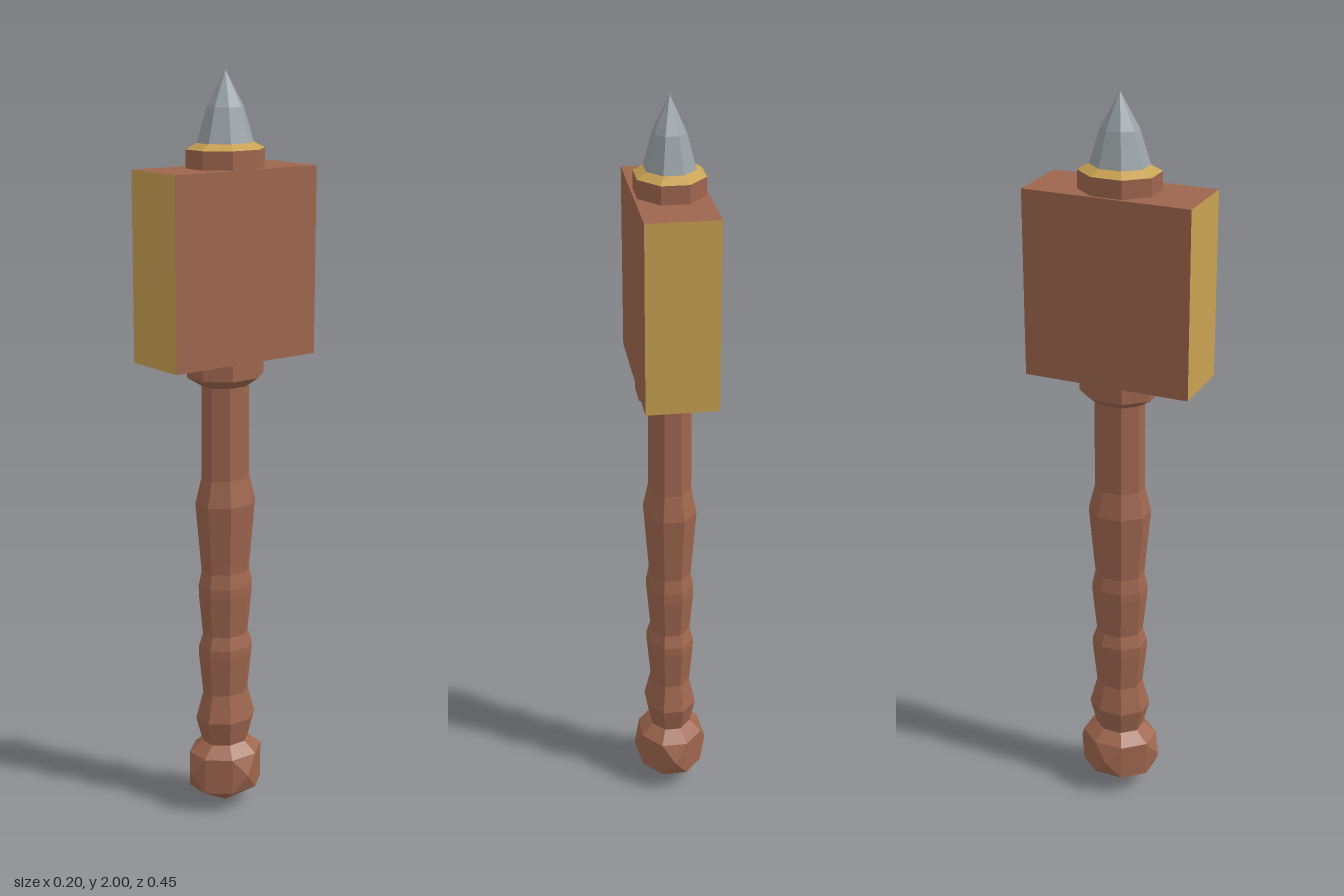
import * as THREE from 'three';

const material = (name, color) => {
  const m = new THREE.MeshStandardMaterial({ color, flatShading: true });
  m.name = name;
  return m;
};

export function createModel() {
  const wood = material('brown wood', 0x9e664e);
  const gold = material('gold', 0xc8a152);
  const steel = material('steel', 0x9aa3a6);

  const model = new THREE.Group();
  model.name = 'hammer';

  // Eight-sided parts share one group, slightly narrower in x than in z
  const turned = new THREE.Group();
  turned.name = 'turnedParts';
  turned.scale.x = 0.86;
  model.add(turned);

  // Octagonal lathe; profile is [distance to flat, height] from bottom to top
  const octagon = (name, mat, profile) => {
    const points = profile.map(([r, y]) => new THREE.Vector2(r / Math.cos(Math.PI / 8), y));
    const mesh = new THREE.Mesh(new THREE.LatheGeometry(points, 8, Math.PI / 8), mat);
    mesh.name = name;
    turned.add(mesh);
  };

  octagon('pommel', wood, [[0, 0.005], [0.097, 0.065], [0.097, 0.165], [0.062, 0.195]]);
  octagon('grip', wood, [
    [0.062, 0.195], [0.079, 0.265], [0.06, 0.34], [0.071, 0.45], [0.071, 0.475],
    [0.06, 0.51], [0.071, 0.625], [0.071, 0.65], [0.063, 0.69], [0.079, 0.88],
    [0.063, 0.95], [0.062, 1.205],
  ]);
  octagon('lowerCollar', wood, [[0.062, 1.2], [0.099, 1.225], [0.099, 1.275]]);
  octagon('upperCollar', wood, [[0.099, 1.755], [0.099, 1.807]]);
  octagon('collarRim', gold, [[0.099, 1.807], [0.07, 1.823], [0, 1.823]]);
  octagon('spike', steel, [[0.072, 1.82], [0.046, 1.91], [0, 2]]);

  // Pyramid studs on the four main faces of the pommel
  const studGeometry = new THREE.ConeGeometry(Math.SQRT1_2, 1, 4, 1, true, Math.PI / 4);
  studGeometry.rotateX(Math.PI / 2).translate(0, 0, 0.5).scale(0.08, 0.1, 0.022);
  studGeometry.translate(0, 0.115, 0.097);
  for (let i = 0; i < 4; i++) {
    const stud = new THREE.Mesh(studGeometry, wood);
    stud.name = 'pommelStud';
    stud.rotation.y = i * Math.PI / 2;
    turned.add(stud);
  }

  // Block head with gold striking faces at front and back
  const head = new THREE.Mesh(
    new THREE.BoxGeometry(0.185, 0.49, 0.447),
    [wood, wood, wood, wood, gold, gold],
  );
  head.name = 'hammerHead';
  head.position.y = 1.515;
  model.add(head);

  return model;
}
